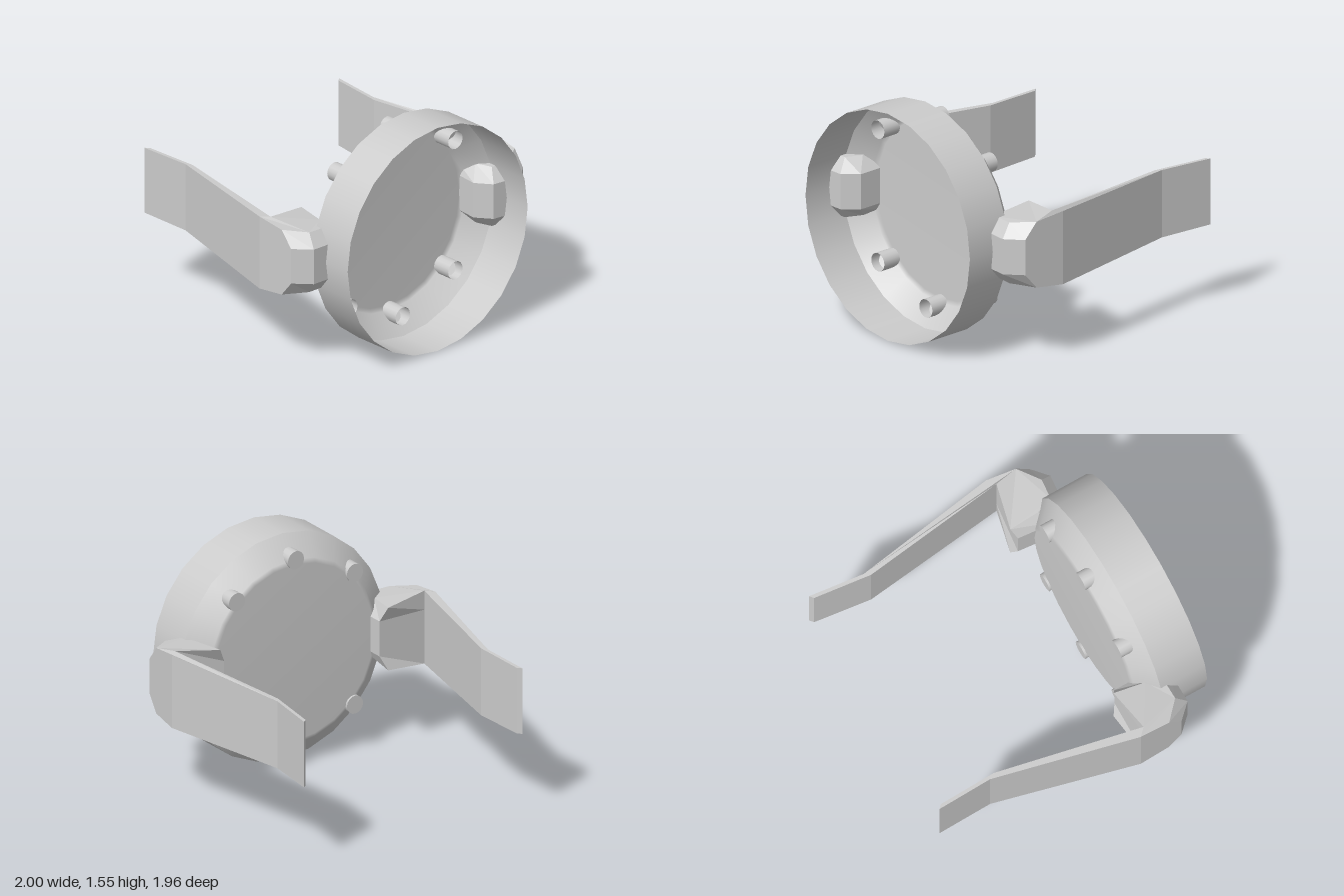
import * as THREE from 'three';

const CX = -0.02, CY = 0.778; // axis of the round cup
const smooth = new THREE.MeshStandardMaterial({ color: 0xcccccc, side: THREE.DoubleSide });
const faceted = new THREE.MeshStandardMaterial({ color: 0xcccccc, flatShading: true });

// Thin shell turned around the z axis; profile points are [radius, z]
function shell(name, profile, sides) {
  const geo = new THREE.LatheGeometry(profile.map(p => new THREE.Vector2(...p)), sides);
  geo.rotateX(Math.PI / 2);
  const mesh = new THREE.Mesh(geo, smooth);
  mesh.name = name;
  return mesh;
}

// Outline of arm and hinge block, seen from above:
// [x, z, half height] of the top edge, then [x, z] of the wider middle belt if bevelled
const ARM = [
  [0.765, -0.98, 0.225],
  [0.755, -0.6, 0.23],
  [1.0, 0.37, 0.25],
  [1.0, 0.58, 0.225, 1.0, 0.67],
  [0.87, 0.7, 0.207, 0.9, 0.775],
  [0.73, 0.7, 0.205, 0.69, 0.775],
  [0.68, 0.59, 0.205, 0.6, 0.68],
  [0.645, 0.377, 0.215, 0.6, 0.41],
  [0.95, 0.42, 0.25],
  [0.73, -0.56, 0.23],
  [0.74, -0.955, 0.225],
];
const BELT = 0.12;

// side: 1 = left (+x), -1 = right; swing opens the arm about its outer corner
function arm(name, side, swing, shiftZ) {
  const c = Math.cos(swing), s = Math.sin(swing);
  const place = (x, z) => [
    side * (1 + (x - 1) * c - (z - 0.37) * s),
    0.37 + shiftZ + (x - 1) * s + (z - 0.37) * c,
  ];
  const outline = side > 0 ? ARM : [...ARM].reverse();
  const n = outline.length, pos = [], index = [];

  // four levels: bottom edge, lower belt, upper belt, top edge
  for (let level = 0; level < 4; level++) {
    const up = level < 2 ? -1 : 1, isBelt = level === 1 || level === 2;
    for (const [x, z, half, bx = x, bz = z] of outline) {
      const [px, pz] = isBelt ? place(bx, bz) : place(x, z);
      pos.push(px, CY + up * (isBelt ? BELT : half), pz);
    }
  }
  for (let level = 0; level < 3; level++) {
    for (let i = 0; i < n; i++) {
      const a = level * n + i, b = level * n + (i + 1) % n;
      index.push(a, b + n, b, a, a + n, b + n);
    }
  }

  // caps
  const flat = outline.map(([x, z]) => new THREE.Vector2(...place(x, z)));
  for (const [i, j, k] of THREE.ShapeUtils.triangulateShape(flat, [])) {
    const ccw = flat[j].clone().sub(flat[i]).cross(flat[k].clone().sub(flat[i])) > 0;
    const [q, r] = ccw ? [j, k] : [k, j];
    index.push(i, q, r, i + 3 * n, r + 3 * n, q + 3 * n);
  }

  const geo = new THREE.BufferGeometry();
  geo.setAttribute('position', new THREE.Float32BufferAttribute(pos, 3));
  geo.setIndex(index);
  const split = geo.toNonIndexed();
  split.computeVertexNormals();
  const mesh = new THREE.Mesh(split, faceted);
  mesh.name = name;
  return mesh;
}

export function createModel() {
  const model = new THREE.Group();
  model.name = 'roundHeadsetCup';

  // Open cup: rim wall and bevelled back plate
  const cup = new THREE.Group();
  cup.name = 'cup';
  cup.position.set(CX, CY, 0);
  cup.add(
    shell('rimWall', [[0.775, 0.655], [0.775, 0.98]], 24),
    shell('backPlate', [[0, 0.515], [0.605, 0.515], [0.635, 0.53], [0.775, 0.655]], 24),
  );

  // Studs around the bevel, none where the hinges sit
  for (let i = 0; i < 8; i++) {
    if (i % 4 === 0) continue;
    const a = i * Math.PI / 4;
    const stud = new THREE.Group();
    stud.name = 'stud';
    stud.position.set(0.64 * Math.cos(a), 0.64 * Math.sin(a), 0);
    stud.add(
      shell('studWall', [[0.062, 0.5], [0.062, 0.65]], 16),
      shell('studCap', [[0, 0.5], [0.062, 0.5]], 16),
    );
    cup.add(stud);
  }
  model.add(cup);

  // Side arms with hinge blocks, the left one swung slightly outwards
  model.add(arm('leftArm', 1, 0.1, 0.03), arm('rightArm', -1, 0, 0));
  return model;
}
